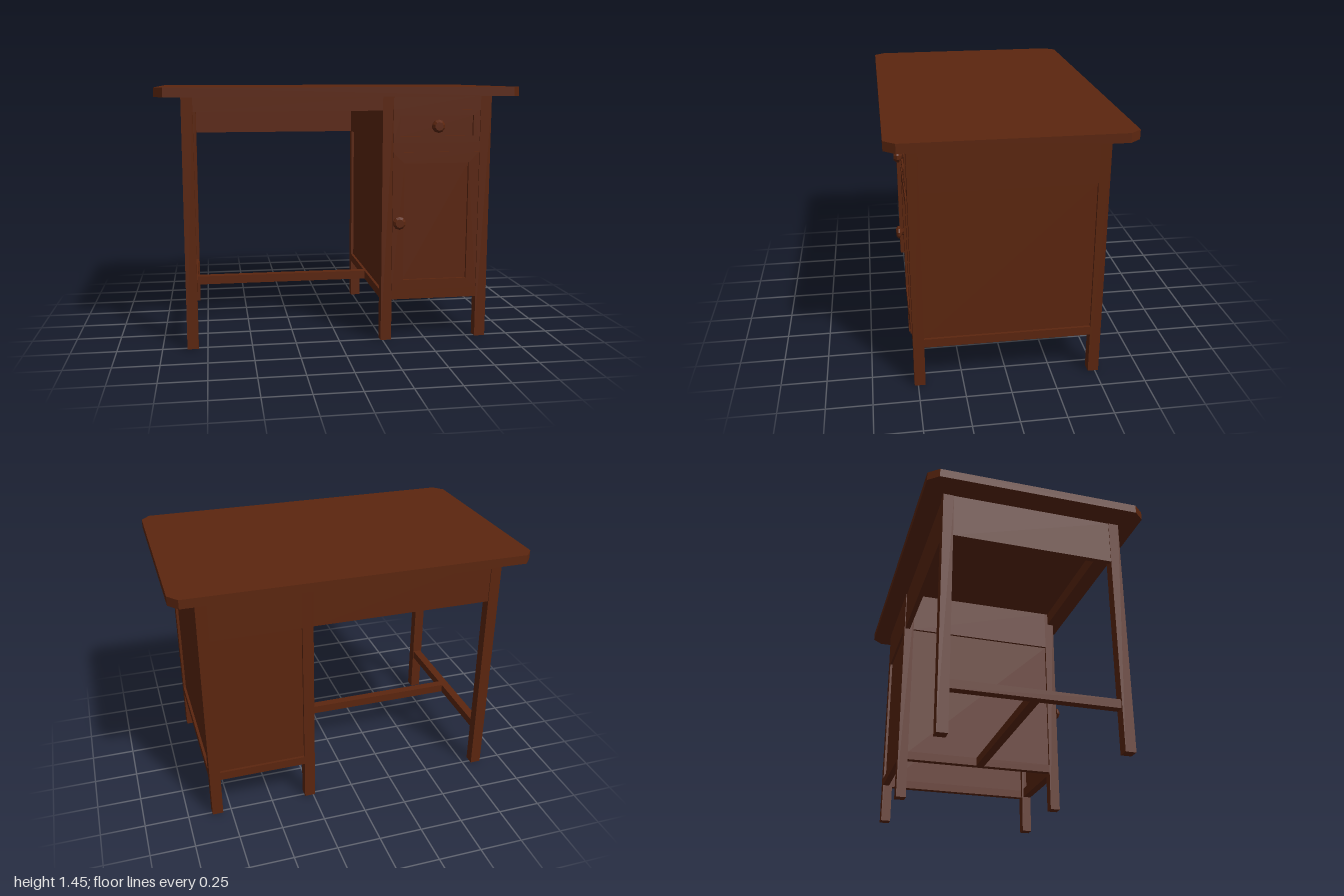
import * as THREE from 'three';

export function createModel() {
  const desk = new THREE.Group();
  desk.name = 'desk';
  const wood = new THREE.MeshStandardMaterial({ color: 0x5c260f, flatShading: true });

  const add = (name, geometry) => {
    const mesh = new THREE.Mesh(geometry, wood);
    mesh.name = name;
    desk.add(mesh);
    return mesh;
  };

  // Box given by its lower and upper limits on each axis
  const box = (name, x0, x1, y0, y1, z0, z1) => {
    const mesh = add(name, new THREE.BoxGeometry(x1 - x0, y1 - y0, z1 - z0));
    mesh.position.set((x0 + x1) / 2, (y0 + y1) / 2, (z0 + z1) / 2);
    return mesh;
  };

  // Rectangular frame facing +z, with an opening
  const frame = (name, o, i, z0, z1) => {
    const shape = new THREE.Shape([[o[0], o[2]], [o[1], o[2]], [o[1], o[3]], [o[0], o[3]]]
      .map(p => new THREE.Vector2(...p)));
    shape.holes.push(new THREE.Path([[i[0], i[2]], [i[0], i[3]], [i[1], i[3]], [i[1], i[2]]]
      .map(p => new THREE.Vector2(...p))));
    const mesh = add(name, new THREE.ExtrudeGeometry(shape, { depth: z1 - z0, bevelEnabled: false }));
    mesh.position.z = z0;
  };

  // Top with cut corners
  const corners = [[-0.95, -0.63], [0.95, -0.63], [1, -0.57], [1, 0.57],
    [0.95, 0.63], [-0.95, 0.63], [-1, 0.57], [-1, -0.57]];
  const topShape = new THREE.Shape(corners.map(p => new THREE.Vector2(...p)));
  const top = add('top', new THREE.ExtrudeGeometry(topShape, { depth: 0.05, bevelEnabled: false }));
  top.rotation.x = -Math.PI / 2;
  top.position.y = 1.4;

  // Six legs
  for (const x of [-0.863, 0.238, 0.8])
    for (const z of [-0.52, 0.46]) box('leg', x, x + 0.062, 0, 1.4, z, z + 0.06);

  // Knee space: aprons and stretchers
  box('frontRail', -0.801, 0.238, 1.32, 1.4, 0.48, 0.52);
  box('backApron', -0.801, 0.238, 1.14, 1.4, -0.515, -0.485);
  box('sideApron', -0.86, -0.83, 1.14, 1.4, -0.46, 0.46);
  box('sideStretcher', -0.855, -0.805, 0.24, 0.29, -0.46, 0.46);
  box('middleStretcher', -0.805, 0.238, 0.24, 0.29, -0.025, 0.025);

  // Cabinet sides: rails around a recessed panel
  for (const [x, panelX] of [[0.238, 0.253], [0.822, 0.827]]) {
    box('sideTopRail', x, x + 0.04, 1.14, 1.4, -0.46, 0.46);
    box('sideBottomRail', x, x + 0.04, 0.24, 0.29, -0.46, 0.46);
    box('sidePanel', panelX, panelX + 0.02, 0.29, 1.14, -0.46, 0.46);
  }

  // Cabinet back
  box('backTopRail', 0.3, 0.8, 1.14, 1.4, -0.52, -0.48);
  box('backBottomRail', 0.3, 0.8, 0.24, 0.29, -0.52, -0.48);
  box('backPanel', 0.3, 0.8, 0.29, 1.14, -0.505, -0.485);

  // Cabinet front rails
  for (const [y0, y1] of [[0.24, 0.3], [1.085, 1.145], [1.32, 1.4]])
    box('cabinetRail', 0.3, 0.8, y0, y1, 0.47, 0.52);

  // Drawer front and door: raised frames with sunken panels
  const fronts = [
    ['drawer', [0.297, 0.795, 1.14, 1.325], [0.337, 0.757, 1.177, 1.292]],
    ['door', [0.297, 0.795, 0.295, 1.088], [0.363, 0.735, 0.355, 1.025]],
  ];
  for (const [name, outer, inner] of fronts) {
    frame(name + 'Frame', outer, inner, 0.49, 0.528);
    box(name + 'Panel', inner[0], inner[1], inner[2], inner[3], 0.492, 0.512);
  }

  // Knobs
  const profile = [[0, 0], [0.022, 0], [0.015, 0.012], [0.037, 0.024], [0.037, 0.032], [0.024, 0.044], [0, 0.044]]
    .map(p => new THREE.Vector2(...p));
  for (const [name, x, y] of [['drawerKnob', 0.548, 1.233], ['doorKnob', 0.331, 0.691]]) {
    const knob = add(name, new THREE.LatheGeometry(profile, 10));
    knob.rotation.x = Math.PI / 2;
    knob.position.set(x, y, name === 'drawerKnob' ? 0.512 : 0.526);
    if (name === 'drawerKnob') knob.scale.y = 1.32;
  }

  return desk;
}
